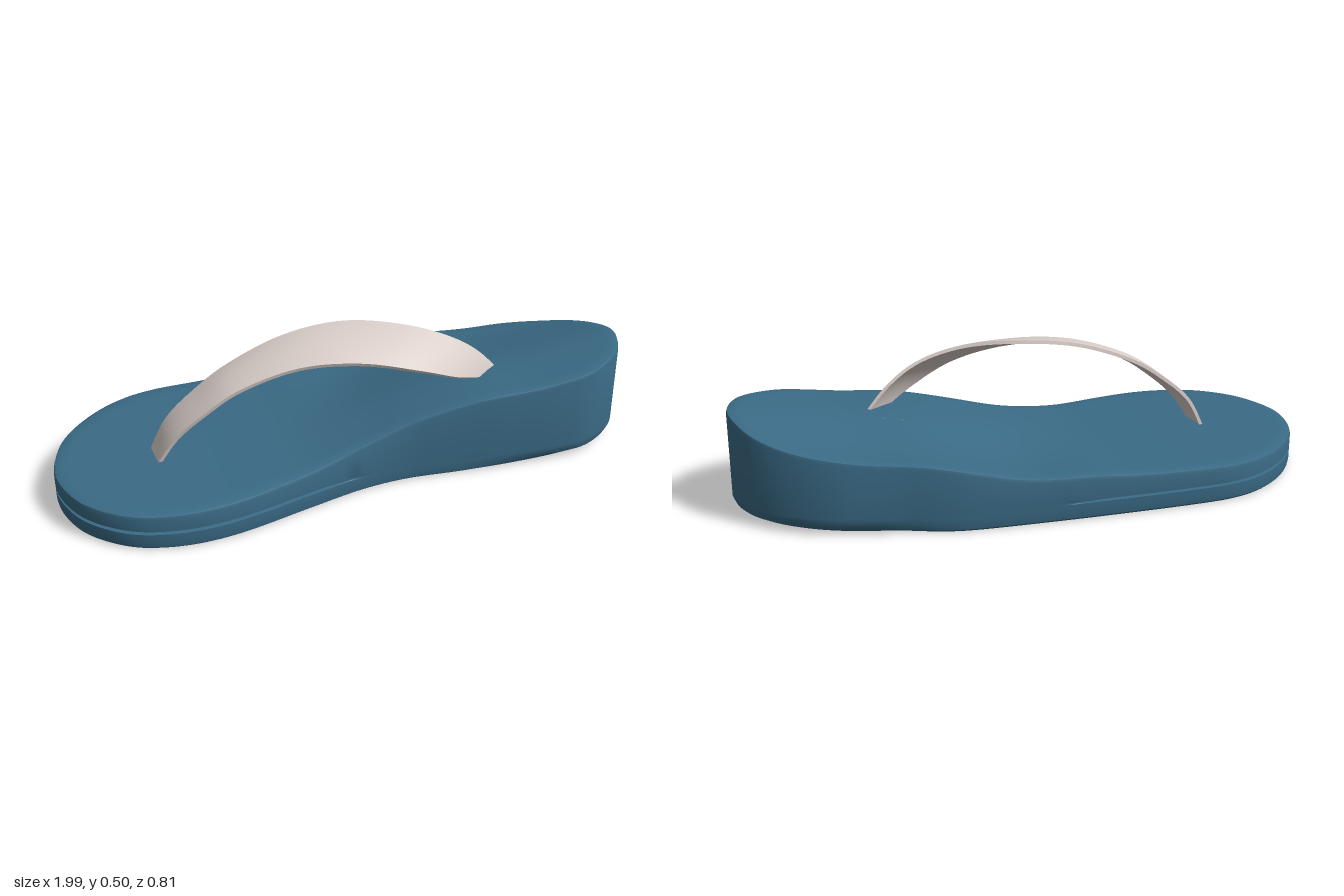
import * as THREE from 'three';
import { toCreasedNormals } from 'three/addons/utils/BufferGeometryUtils.js';

const smooth = THREE.MathUtils.smoothstep;

// Skin a list of equally long closed rings of [x, y, z] points
function skin(rings, crease) {
  const n = rings[0].length, index = [];
  for (let i = 0; i < rings.length - 1; i++) {
    for (let j = 0; j < n; j++) {
      const k = (j + 1) % n;
      const a = i * n + j, b = i * n + k, c = b + n, d = a + n;
      index.push(a, d, c, a, c, b);
    }
  }
  const g = new THREE.BufferGeometry();
  g.setAttribute('position', new THREE.Float32BufferAttribute(rings.flat(2), 3));
  g.setIndex(index);
  return toCreasedNormals(g, crease);
}

// Footbed height: length profile, falling away toward the back edge of the heel
const profile = new THREE.SplineCurve([
  [-1, 0.125], [-0.8, 0.126], [-0.6, 0.128], [-0.4, 0.132], [-0.2, 0.143], [0, 0.18],
  [0.2, 0.235], [0.4, 0.278], [0.6, 0.295], [0.8, 0.322], [1, 0.348],
].map(p => new THREE.Vector2(...p)));
function topHeight(x, z) {
  const y = profile.getPoint(THREE.MathUtils.clamp((x + 1) / 2, 0, 1)).y;
  return y - 0.055 * smooth(x, -0.2, 0.2) * smooth(-z, -0.1, 0.28);
}

// Sole outline as (x, z), from the heel along the +z side to the toe and back
const outline = new THREE.CatmullRomCurve3([
  [0.995, 0.04], [0.955, 0.165], [0.9, 0.225], [0.8, 0.28], [0.7, 0.29], [0.5, 0.282],
  [0.3, 0.265], [0.15, 0.256], [0, 0.27], [-0.2, 0.32], [-0.4, 0.375], [-0.5, 0.395],
  [-0.6, 0.402], [-0.7, 0.392], [-0.8, 0.36], [-0.9, 0.285], [-0.96, 0.2], [-1, 0.05],
  [-0.965, -0.12], [-0.9, -0.225], [-0.8, -0.32], [-0.7, -0.375], [-0.6, -0.4],
  [-0.45, -0.406], [-0.2, -0.402], [0, -0.395], [0.3, -0.375], [0.4, -0.355],
  [0.5, -0.328], [0.6, -0.306], [0.7, -0.282], [0.8, -0.238], [0.9, -0.165], [0.96, -0.085],
].map(([x, z]) => new THREE.Vector3(x, 0, z)), true, 'centripetal');

function soleGeometry() {
  const N = 180;
  const edge = Array.from({ length: N }, (_, i) => {
    const p = outline.getPointAt(i / N), t = outline.getTangentAt(i / N);
    return { x: p.x, z: p.z, nx: -t.z, nz: t.x };
  });
  // Move in from the edge by a distance, then by a fraction toward the spine
  const inward = (e, inset, f = 0) => {
    const x = e.x + e.nx * inset, z = e.z + e.nz * inset;
    const sx = 0.75 * e.x, sz = -0.05 + 0.1 * e.x * e.x;
    return [x + (sx - x) * f, z + (sz - z) * f];
  };
  const heel = e => smooth(e.x, 0.3, 0.95);
  const groove = e => 0.013 * (1 - smooth(e.x, -0.18, 0));
  const rings = [];
  const flatRing = (y, inset, f) => rings.push(edge.map(e => {
    const [x, z] = inward(e, inset(e), f);
    return [x, y, z];
  }));
  const topRing = (drop, inset, f) => rings.push(edge.map(e => {
    const [x, z] = inward(e, inset, f);
    return [x, topHeight(x, z) - drop, z];
  }));

  // Underside and rounded lower edge
  const under = e => 0.012 + 0.07 * heel(e);
  for (const f of [1, 0.5, 0]) flatRing(0, under, f);
  flatRing(0.008, e => 0.003 + 0.035 * heel(e));
  flatRing(0.025, e => 0.01 * heel(e));
  flatRing(0.048, () => 0);
  // Seam groove around the forefoot
  flatRing(0.058, () => 0);
  flatRing(0.06, groove);
  flatRing(0.068, groove);
  flatRing(0.07, () => 0);
  // Wall, softened rim and footbed
  topRing(0.014, 0);
  topRing(0.004, 0.003);
  topRing(0, 0.012);
  for (const f of [0.12, 0.25, 0.4, 0.6, 0.8, 1]) topRing(0, 0.012, f);
  return skin(rings, 0.6);
}

// Arched strap between two matching edge curves
function strapGeometry() {
  const curve = pts => new THREE.CatmullRomCurve3(pts.map(p => new THREE.Vector3(...p)));
  const rear = curve([
    [-0.68, 0.1, -0.012], [-0.61, 0.23, -0.015], [-0.5, 0.327, -0.018], [-0.4, 0.392, -0.02],
    [-0.2, 0.47, -0.025], [0, 0.498, -0.01], [0.2, 0.483, 0.05], [0.35, 0.432, 0.082],
    [0.45, 0.365, 0.08], [0.55, 0.26, 0.065],
  ]);
  const front = curve([
    [-0.675, 0.1, 0.08], [-0.6, 0.215, 0.1], [-0.5, 0.305, 0.12], [-0.4, 0.37, 0.13],
    [-0.2, 0.433, 0.15], [0, 0.437, 0.185], [0.2, 0.39, 0.21], [0.35, 0.325, 0.18],
    [0.45, 0.28, 0.125], [0.51, 0.25, 0.085],
  ]);
  const rings = [], steps = 72, across = 8;
  for (let i = 0; i <= steps; i++) {
    const t = i / steps, a = rear.getPoint(t), b = front.getPoint(t);
    const along = rear.getTangent(t).add(front.getTangent(t));
    const up = b.clone().sub(a).cross(along).normalize();
    const bulge = 0.012 * Math.sin(Math.PI * t);
    const row = (offset, s) => {
      const lift = offset + bulge * 4 * s * (1 - s);
      return a.clone().lerp(b, s).addScaledVector(up, lift).toArray();
    };
    const ring = [];
    for (let k = 0; k <= across; k++) ring.push(row(0.005, k / across));
    for (let k = across; k >= 0; k--) ring.push(row(-0.007, k / across));
    rings.push(ring);
  }
  return skin(rings, 0.7);
}

export function createModel() {
  const soleBlue = new THREE.MeshStandardMaterial({ color: 0x3a6a85 });
  soleBlue.name = 'sole blue';
  const strapBeige = new THREE.MeshStandardMaterial({ color: 0xd8cdc8, side: THREE.DoubleSide });
  strapBeige.name = 'strap beige';

  const sole = new THREE.Mesh(soleGeometry(), soleBlue);
  sole.name = 'sole';
  const strap = new THREE.Mesh(strapGeometry(), strapBeige);
  strap.name = 'strap';

  const model = new THREE.Group();
  model.name = 'sandal';
  model.add(sole, strap);
  return model;
}
